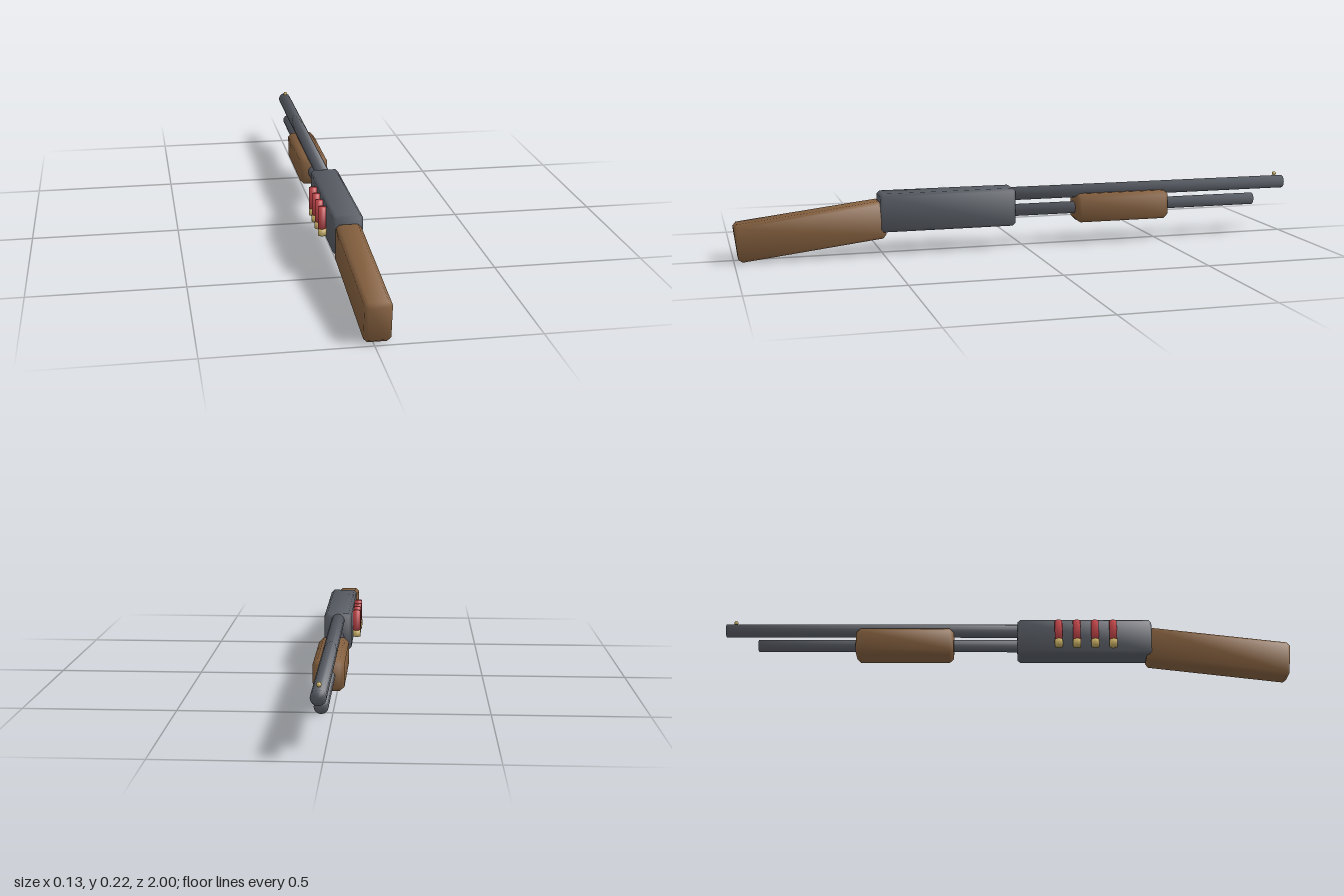
import * as THREE from 'three';
import { mergeVertices } from 'three/addons/utils/BufferGeometryUtils.js';
import { ConvexGeometry } from 'three/addons/geometries/ConvexGeometry.js';

const paint = (name, color) => Object.assign(new THREE.MeshStandardMaterial({ color }), { name });

// Weld a geometry and give it angle-weighted normals, smooth across every edge
function smooth(source) {
  source.deleteAttribute('normal');
  source.deleteAttribute('uv');
  const geo = mergeVertices(source, 1e-5);
  const pos = geo.attributes.position;
  const sums = Array.from({ length: pos.count }, () => new THREE.Vector3());
  const p = [0, 1, 2].map(() => new THREE.Vector3());
  const n = new THREE.Vector3();
  for (let i = 0; i < geo.index.count; i += 3) {
    const id = [0, 1, 2].map(k => geo.index.getX(i + k));
    id.forEach((v, k) => p[k].fromBufferAttribute(pos, v));
    const a = p[1].clone().sub(p[0]);
    n.copy(p[2]).sub(p[0]);
    n.crossVectors(a, n);
    if (n.lengthSq() < 1e-16) continue;
    n.normalize();
    id.forEach((v, k) => {
      const e = p[(k + 1) % 3].clone().sub(p[k]);
      const f = p[(k + 2) % 3].clone().sub(p[k]);
      sums[v].addScaledVector(n, e.angleTo(f));
    });
  }
  const normals = new Float32Array(pos.count * 3);
  sums.forEach((s, i) => s.normalize().toArray(normals, i * 3));
  geo.setAttribute('normal', new THREE.BufferAttribute(normals, 3));
  return geo;
}

// Box with all edges chamfered by b
function chamferBox(w, h, d, b) {
  const points = [];
  for (const x of [-1, 1]) for (const y of [-1, 1]) for (const z of [-1, 1]) {
    const X = w / 2, Y = h / 2, Z = d / 2;
    points.push(
      new THREE.Vector3(x * X, y * (Y - b), z * (Z - b)),
      new THREE.Vector3(x * (X - b), y * Y, z * (Z - b)),
      new THREE.Vector3(x * (X - b), y * (Y - b), z * Z));
  }
  return smooth(new ConvexGeometry(points));
}

export function createModel() {
  const model = new THREE.Group();
  const metal = paint('gunmetal', 0x585c64);
  const wood = paint('wood', 0x85603f);
  const red = paint('red plastic', 0xc04448);
  const brass = paint('brass', 0xcfb568);
  const cx = 0.0125;

  function add(name, geo, mat, x, y, z) {
    const mesh = new THREE.Mesh(geo, mat);
    mesh.name = name;
    mesh.position.set(x, y, z);
    model.add(mesh);
    return mesh;
  }
  const rod = (r, len) => smooth(new THREE.CylinderGeometry(r, r, len, 16));

  // Receiver, butt stock and sliding grip
  add('receiver', chamferBox(0.096, 0.133, 0.475, 0.01), metal, cx, 0.1465, 0.273);
  const stock = add('stock', chamferBox(0.082, 0.13, 0.5, 0.012), wood, cx, 0.094, 0.744);
  stock.rotation.x = 0.118;
  add('foreGrip', chamferBox(0.1, 0.102, 0.345, 0.015), wood, cx, 0.129, -0.362);

  // Barrel and the tube beneath it, running along z
  const barrel = add('barrel', rod(0.0235, 1.06), metal, cx, 0.187, -0.47);
  const tube = add('magazineTube', rod(0.0215, 0.94), metal, cx, 0.128, -0.41);
  barrel.rotation.x = tube.rotation.x = Math.PI / 2;

  // Front bead sight
  add('beadSight', new THREE.SphereGeometry(0.0075, 12, 8), brass, cx, 0.2175, -0.97);

  // Row of spare shells on the right side
  const hull = rod(0.0135, 0.074), base = rod(0.0142, 0.024);
  for (let i = 0; i < 4; i++) {
    const z = 0.18 + i * 0.064;
    add('shellHull', hull, red, -0.049, 0.16, z);
    add('shellBase', base, brass, -0.049, 0.112, z);
  }
  return model;
}
